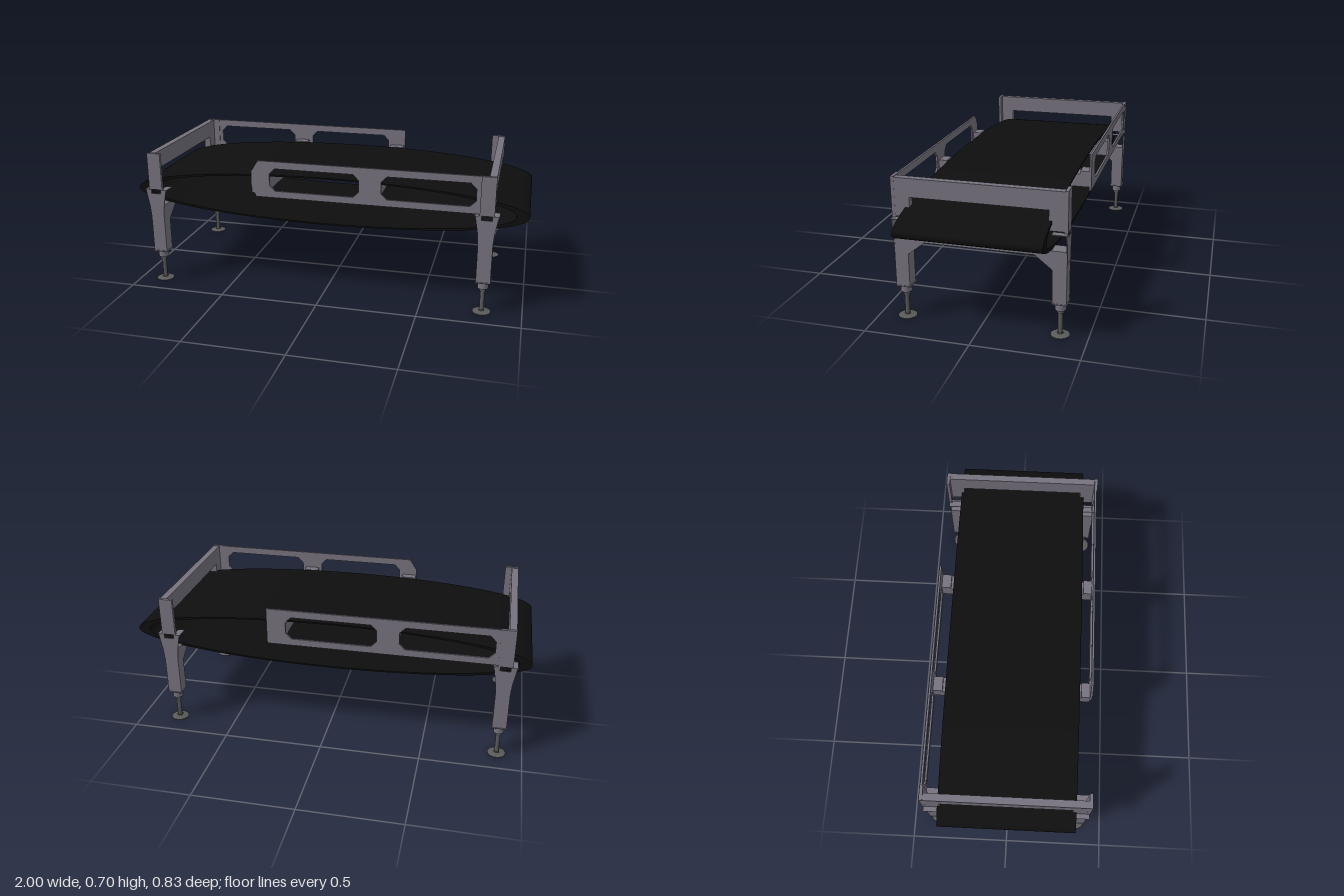
import * as THREE from 'three';
import { toCreasedNormals } from 'three/addons/utils/BufferGeometryUtils.js';

const frameMat = new THREE.MeshStandardMaterial({ color: 0x77737f, side: THREE.DoubleSide });
const beltMat = new THREE.MeshStandardMaterial({ color: 0x0e0e0e, side: THREE.DoubleSide });
const footMat = new THREE.MeshStandardMaterial({ color: 0x5a5a5a });

const outline = (pts) => new THREE.Shape(pts.map(([a, b]) => new THREE.Vector2(a, b)));

function add(parent, name, geometry, material, x = 0, y = 0, z = 0) {
  const mesh = new THREE.Mesh(geometry, material);
  mesh.name = name;
  mesh.position.set(x, y, z);
  parent.add(mesh);
  return mesh;
}

function box(parent, name, x0, x1, y0, y1, z0, z1, material = frameMat) {
  return add(parent, name, new THREE.BoxGeometry(x1 - x0, y1 - y0, z1 - z0), material,
    (x0 + x1) / 2, (y0 + y1) / 2, (z0 + z1) / 2);
}

// Extrusion centred on its own depth
function plate(shape, depth, curveSegments = 12) {
  return new THREE.ExtrudeGeometry(shape, { depth, bevelEnabled: false, curveSegments })
    .translate(0, 0, -depth / 2);
}

// Profile drawn in z and y, thick along x
const crossPlate = (shape, depth) => plate(shape, depth).rotateY(-Math.PI / 2);

// Rectangular window with cut corners
function windowHole(x0, x1, y0, y1, c) {
  return outline([[x0 + c, y0], [x1 - c, y0], [x1, y0 + c], [x1, y1 - c],
    [x1 - c, y1], [x0 + c, y1], [x0, y1 - c], [x0, y0 + c]]);
}

function sideRail(name, pts, windows, z) {
  const shape = outline(pts);
  windows.forEach(([a, b]) => shape.holes.push(windowHole(a, b, 0.547, 0.662, 0.028)));
  return { name, geometry: plate(shape, 0.01), z };
}

// Levelling foot with collar, nut, threaded rod and pad
function foot(x, z) {
  const g = new THREE.Group();
  g.name = 'levellingFoot';
  g.position.set(x, 0, z);
  box(g, 'legEndPlate', -0.037, 0.037, 0.164, 0.169, -0.037, 0.037);
  const cyl = (name, r, y0, y1, sides, mat) => add(g, name,
    new THREE.CylinderGeometry(r, r, y1 - y0, sides), mat, 0, (y0 + y1) / 2, 0);
  cyl('collar', 0.026, 0.129, 0.165, 24, frameMat);
  cyl('lockNut', 0.017, 0.113, 0.13, 6, footMat);
  cyl('rod', 0.011, 0.01, 0.115, 16, footMat);
  cyl('footNut', 0.015, 0.008, 0.014, 6, footMat);
  const profile = [[0, 0], [0.045, 0], [0.045, 0.003], [0.02, 0.009], [0, 0.01]];
  add(g, 'footPad', toCreasedNormals(new THREE.LatheGeometry(
    profile.map(([a, b]) => new THREE.Vector2(a, b)), 28), 0.6), footMat);
  return g;
}

// One end: leg arch, brackets, feet and the raised cross board
function endFrame(name, x, boardX) {
  const g = new THREE.Group();
  g.name = name;
  const arch = outline([[-0.402, 0.167], [-0.336, 0.167], [-0.336, 0.33], [-0.256, 0.394],
    [0.256, 0.394], [0.336, 0.33], [0.336, 0.167], [0.402, 0.167], [0.402, 0.421], [-0.402, 0.421]]);
  add(g, 'legArch', crossPlate(arch, 0.07), frameMat, x);

  // Cross board, open underneath for the belt
  const board = outline([[-0.393, 0.513], [-0.318, 0.513], [-0.318, 0.607], [0.318, 0.607],
    [0.318, 0.513], [0.393, 0.513], [0.393, 0.695], [-0.393, 0.695]]);
  add(g, 'crossBoard', crossPlate(board, 0.035), frameMat, boardX);

  // Flared bracket with a notch in its top edge
  const bracket = outline([[-0.035, 0.36], [0.035, 0.36], [0.04, 0.42], [0.055, 0.505],
    [0.025, 0.505], [0.025, 0.485], [-0.025, 0.485], [-0.025, 0.505], [-0.055, 0.505], [-0.04, 0.42]]);
  for (const s of [1, -1]) {
    add(g, 'bracket', plate(bracket, 0.004), frameMat, x, 0, s * 0.401);
    const zs = [s * 0.336, s * 0.403].sort((a, b) => a - b);
    for (const t of [-1, 1]) {
      const xs = [x + t * 0.025, x + t * 0.058].sort((a, b) => a - b);
      box(g, 'bracketFlange', xs[0], xs[1], 0.502, 0.506, zs[0], zs[1]);
    }
    const pz = [s * 0.388, s * 0.404].sort((a, b) => a - b);
    box(g, 'cornerPost', x - 0.035, x + 0.035, 0.507, 0.699, pz[0], pz[1]);
    g.add(foot(x, s * 0.369));
  }
  return g;
}

export function createModel() {
  const model = new THREE.Group();
  model.name = 'conveyor';

  // Endless belt: flattened loop, thicker at the two ends
  const loop = new THREE.Shape().absellipse(0, 0, 1, 0.1225, 0, Math.PI * 2);
  loop.holes.push(new THREE.Path().absellipse(0, 0, 0.94, 0.115, 0, Math.PI * 2));
  add(model, 'belt', toCreasedNormals(plate(loop, 0.67, 96), 0.7), beltMat, 0, 0.492, 0.003);

  // End frames
  model.add(endFrame('rightEndFrame', -0.875, -0.892));
  model.add(endFrame('leftEndFrame', 0.805, 0.822));

  // Side rails, each reaching from one end frame past the middle
  const rails = [
    sideRail('frontRail', [[-0.33, 0.513], [0.805, 0.513], [0.805, 0.698], [-0.318, 0.698],
      [-0.355, 0.64], [-0.355, 0.56]], [[-0.26, 0.19], [0.3, 0.75]], 0.393),
    sideRail('backRail', [[-0.875, 0.513], [0.285, 0.513], [0.285, 0.698], [-0.875, 0.698]],
      [[-0.82, -0.37], [-0.26, 0.19]], -0.397),
  ];
  rails.forEach((r) => add(model, r.name, r.geometry, frameMat, 0, 0, r.z));

  // Cross beams inside the belt loop, with blocks behind the rails
  for (const x of [-0.317, 0.243]) {
    box(model, 'crossBeam', x - 0.037, x + 0.037, 0.53, 0.595, -0.393, 0.39);
    for (const s of [-1, 1]) {
      const z = [s * 0.345, s * 0.392].sort((a, b) => a - b);
      box(model, 'railBlock', x - 0.037, x + 0.037, 0.53, 0.61, z[0], z[1]);
    }
  }
  return model;
}
